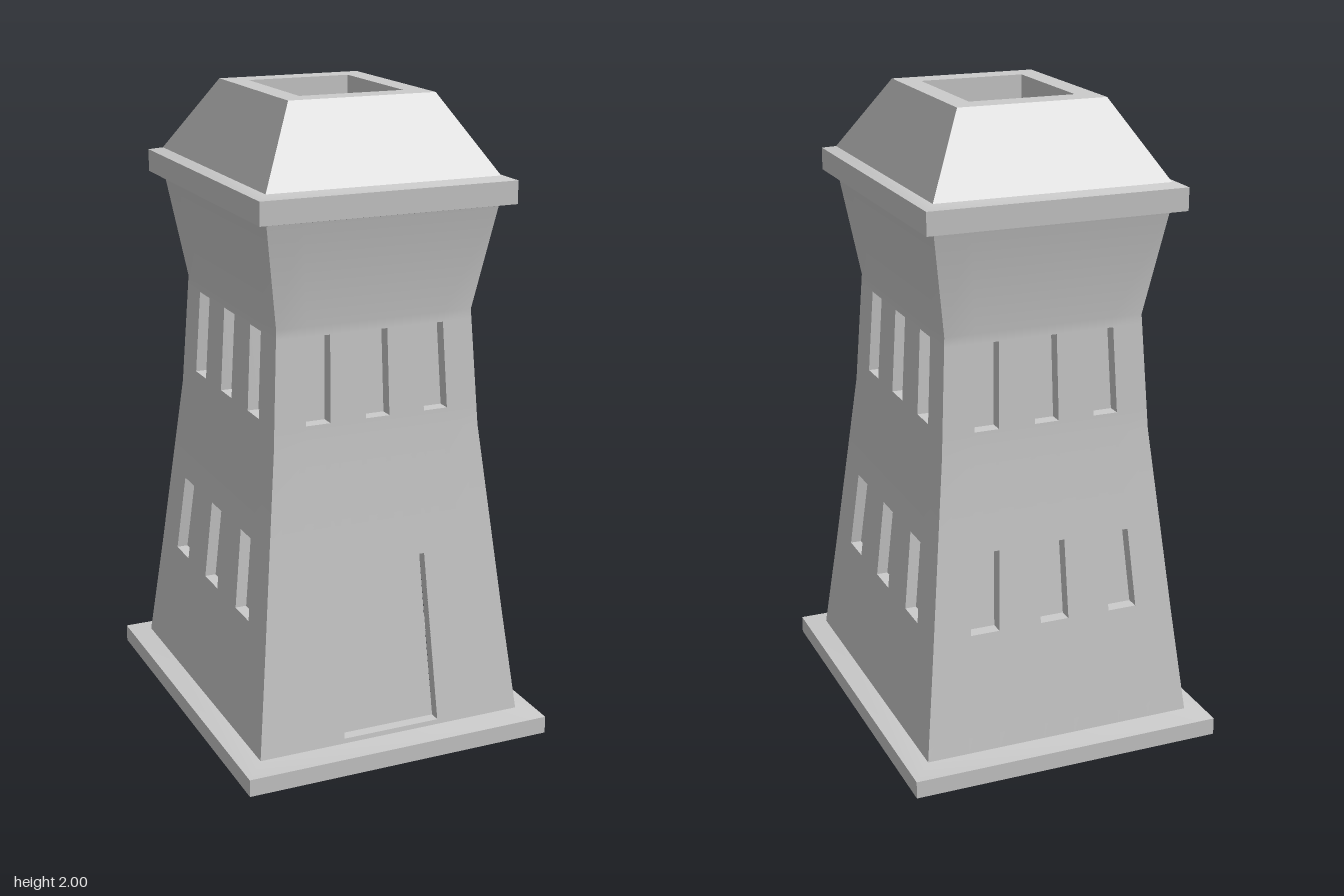
import * as THREE from 'three';
import { toCreasedNormals } from 'three/addons/utils/BufferGeometryUtils.js';

const DEPTH = 1.19; // plan is this much longer in z than in x
const CREASE = 0.4;

// Half width of the tower wall at a height
const WALL = [[0.075, 0.435], [0.4, 0.399], [1, 0.336], [1.36, 0.316], [1.685, 0.368]];
function halfWidth(y) {
  let i = 1;
  while (i < WALL.length - 1 && y > WALL[i][0]) i++;
  const [y0, w0] = WALL[i - 1], [y1, w1] = WALL[i];
  return w0 + (w1 - w0) * (y - y0) / (y1 - y0);
}

// Openings in wall fractions: u from -1 to 1 across, y in height
const windowRow = (y0, y1) => [-0.58, 0, 0.58].map(c => ({ u0: c - 0.117, u1: c + 0.117, y0, y1, inset: 0.035 }));
const UPPER = windowRow(1.065, 1.33);
const LOWER = windowRow(0.445, 0.695);
const DOOR = [{ u0: -0.365, u1: 0.365, y0: 0.09, y1: 0.625, inset: 0.03 }];

const sortedCuts = list => [...new Set(list)].sort((a, b) => a - b);

// One wall facing +z, with its openings sunk into it
function wallGeometry(openings) {
  const pos = [];
  const point = (u, y, inset = 0) => [u * halfWidth(y), y, halfWidth(y) - inset];
  const quad = (a, b, c, d) => pos.push(...a, ...b, ...c, ...a, ...c, ...d);

  const us = sortedCuts([-1, 1, ...openings.flatMap(o => [o.u0, o.u1])]);
  const ys = sortedCuts([...WALL.map(p => p[0]), ...openings.flatMap(o => [o.y0, o.y1])]);
  for (let i = 0; i < us.length - 1; i++) {
    for (let j = 0; j < ys.length - 1; j++) {
      const u = (us[i] + us[i + 1]) / 2, y = (ys[j] + ys[j + 1]) / 2;
      const hole = openings.find(o => u > o.u0 && u < o.u1 && y > o.y0 && y < o.y1);
      const inset = hole ? hole.inset : 0;
      const corners = [[us[i], ys[j]], [us[i + 1], ys[j]], [us[i + 1], ys[j + 1]], [us[i], ys[j + 1]]];
      quad(...corners.map(c => point(...c, inset)));
    }
  }
  // Sill, jambs and head of every opening
  for (const { u0, u1, y0, y1, inset } of openings) {
    const c = [[u0, y0], [u1, y0], [u1, y1], [u0, y1]];
    c.forEach((a, k) => {
      const b = c[(k + 1) % 4];
      quad(point(...a), point(...b), point(...b, inset), point(...a, inset));
    });
  }
  const geometry = new THREE.BufferGeometry();
  geometry.setAttribute('position', new THREE.Float32BufferAttribute(pos, 3));
  return geometry;
}

// Four-sided solid from a profile of [half width, height], bottom to top
function squareLathe(profile) {
  const points = profile.map(([w, y]) => new THREE.Vector2(w * Math.SQRT2, y));
  return new THREE.LatheGeometry(points, 4, Math.PI / 4);
}

export function createModel() {
  const group = new THREE.Group();
  group.name = 'tower';
  const material = new THREE.MeshStandardMaterial({ color: 0xcccccc });

  const add = (name, geometry) => {
    geometry.scale(1, 1, DEPTH);
    const mesh = new THREE.Mesh(toCreasedNormals(geometry, CREASE), material);
    mesh.name = name;
    group.add(mesh);
  };

  // Plinth
  add('base', squareLathe([[0, 0], [0.41, 0], [0.5, 0.01], [0.5, 0.065], [0.435, 0.075]]));

  // Walls: the door replaces the lower windows at the front
  ['frontWall', 'leftWall', 'backWall', 'rightWall'].forEach((name, i) => {
    const openings = [...UPPER, ...(i === 0 ? DOOR : LOWER)];
    add(name, wallGeometry(openings).rotateY(i * Math.PI / 2));
  });

  // Projecting cornice
  add('cornice', squareLathe([[0.368, 1.68], [0.405, 1.69], [0.405, 1.76], [0.37, 1.77]]));

  // Sloped roof with a square shaft sunk into its flat top
  add('roof', squareLathe([[0.37, 1.77], [0.234, 2], [0.167, 2], [0.167, 1.78], [0, 1.78]]));

  return group;
}
